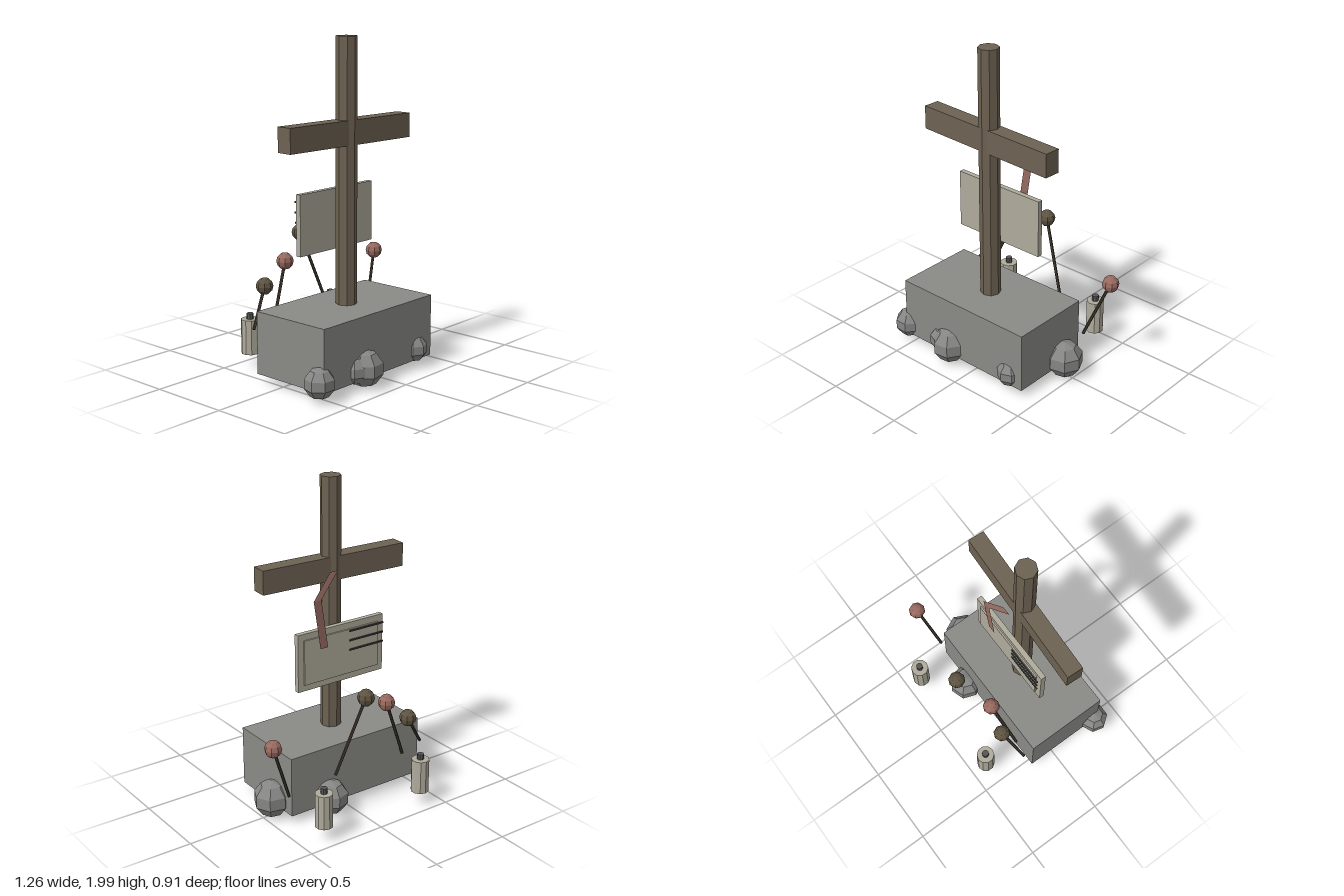
import * as THREE from 'three';

const mat = (name, color, extra = {}) => {
  const m = new THREE.MeshStandardMaterial({ color, flatShading: true, ...extra });
  m.name = name;
  return m;
};

export function createModel() {
  const root = new THREE.Group();
  const stone = mat('stone', 0x8a8b86);
  const rock = mat('rock', 0x868785);
  const wood = mat('wood', 0x6d6252);
  const darkWood = mat('darkWood', 0x5f5442);
  const stick = mat('stick', 0x453e34);
  const cream = mat('cream', 0xb0ab9c);
  const pink = mat('pink', 0x98695f);
  const ribbonPink = mat('ribbonPink', 0x956a60, { side: THREE.DoubleSide });
  const dark = mat('dark', 0x3a3938);
  const capGrey = mat('capGrey', 0x555557);

  const add = (name, geometry, material, x, y, z, parent = root) => {
    const m = new THREE.Mesh(geometry, material);
    m.name = name;
    m.position.set(x, y, z);
    parent.add(m);
    return m;
  };

  // plinth, post and slightly turned cross beam
  add('base', new THREE.BoxGeometry(0.95, 0.375, 0.525), stone, -0.07, 0.2525, 0.0975);
  add('post', new THREE.CylinderGeometry(0.0625, 0.0625, 1.56, 8), wood, -0.07, 1.22, 0.1);
  add('crossBeam', new THREE.BoxGeometry(0.972, 0.145, 0.1), wood, -0.07, 1.4525, 0.1)
    .rotation.y = -0.048;

  // notice board with raised panel and three written lines on the back
  add('board', new THREE.BoxGeometry(0.62, 0.36, 0.032), cream, -0.07, 0.94, 0.011);
  add('boardPanel', new THREE.BoxGeometry(0.54, 0.28, 0.01), cream, -0.07, 0.94, -0.01);
  for (const y of [1.072, 1.012, 0.952])
    add('boardLine', new THREE.BoxGeometry(0.25, 0.01, 0.007), dark, -0.245, y, -0.0225);

  // folded ribbon: a strip of constant width along x
  const path = [[-0.027, 1.455, 0.007], [0.115, 1.312, -0.027], [0.068, 1.01, -0.027]];
  const pos = [], idx = [];
  path.forEach(([x, y, z], i) => {
    pos.push(x - 0.027, y, z, x + 0.027, y, z);
    if (i) { const a = 2 * i - 2; idx.push(a, a + 2, a + 1, a + 1, a + 2, a + 3); }
  });
  const ribbon = new THREE.BufferGeometry();
  ribbon.setAttribute('position', new THREE.Float32BufferAttribute(pos, 3));
  ribbon.setIndex(idx);
  ribbon.computeVertexNormals();
  add('ribbon', ribbon, ribbonPink, 0, 0, 0);

  // rocks around the foot: x, z, radius, turn
  [
    [-0.55, 0.33, 0.092, 0.2], [-0.405, 0.09, 0.115, 0.5], [-0.255, 0.33, 0.085, 0.7],
    [-0.185, 0.345, 0.112, 0.35], [0.14, -0.195, 0.107, 0.1], [0.288, 0.327, 0.082, 0.6],
    [0.437, 0, 0.115, Math.PI],
  ].forEach(([x, z, r, turn]) => {
    add('rock', new THREE.SphereGeometry(r, 7, 5), rock, x, 0.127, z).rotation.y = turn;
  });

  // leaning stems with round heads: head point, foot point, head material
  [
    [[-0.37, 0.535, -0.277], [-0.52, 0.315, -0.217], darkWood],
    [[-0.225, 0.665, -0.25], [-0.405, 0.25, -0.19], pink],
    [[0, 0.79, -0.34], [0.17, 0.315, -0.277], darkWood],
    [[0.577, 0.592, -0.24], [0.432, 0.215, -0.178], pink],
  ].forEach(([head, foot, headMat]) => {
    const flower = new THREE.Group();
    flower.name = 'flower';
    root.add(flower);
    const a = new THREE.Vector3(...foot), b = new THREE.Vector3(...head);
    const dir = b.clone().sub(a), mid = a.clone().add(b).multiplyScalar(0.5);
    add('stem', new THREE.CylinderGeometry(0.0095, 0.0095, dir.length(), 6), stick, ...mid, flower)
      .quaternion.setFromUnitVectors(new THREE.Vector3(0, 1, 0), dir.normalize());
    add('flowerHead', new THREE.SphereGeometry(0.052, 8, 6), headMat, ...head, flower);
  });

  // candles behind the plinth
  for (const x of [-0.37, 0.345]) {
    const candle = new THREE.Group();
    candle.name = 'candle';
    candle.position.set(x, 0, -0.405);
    root.add(candle);
    add('candleBody', new THREE.CylinderGeometry(0.055, 0.055, 0.212, 10), cream, 0, 0.204, 0, candle);
    add('candleWick', new THREE.CylinderGeometry(0.021, 0.021, 0.05, 8), capGrey, 0, 0.32, 0, candle);
  }
  return root;
}
